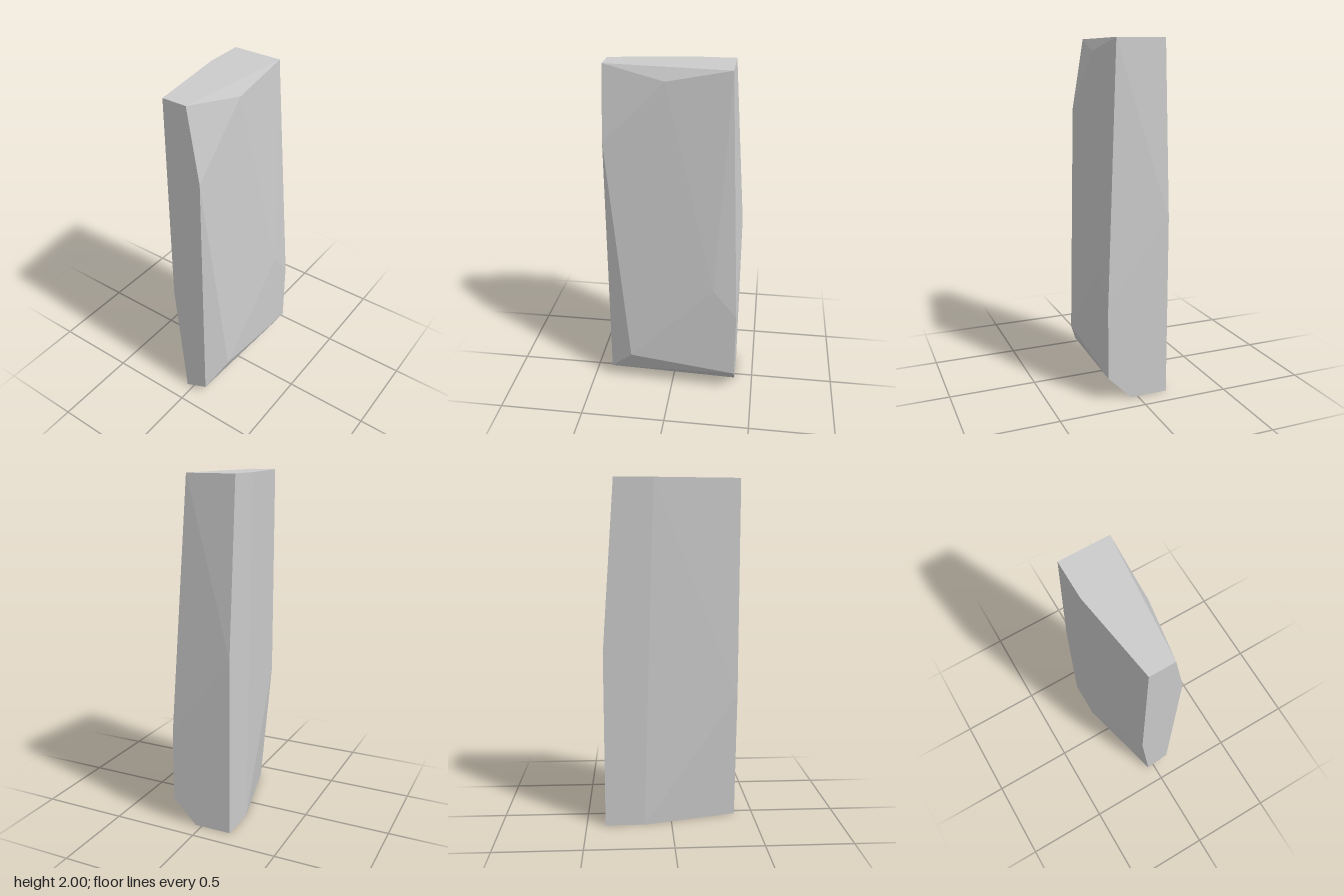
import * as THREE from 'three';
import { ConvexGeometry } from 'three/addons/geometries/ConvexGeometry.js';

export function createModel() {
  const group = new THREE.Group();
  group.name = 'stoneSlab';

  // Corners of the chipped slab; its planar facets are their convex hull
  const corners = [
    // top face
    [-0.39, 2, -0.108], [0.1, 2, -0.18], [0.32, 2, -0.18], [0.32, 2, 0.105], [-0.39, 2, 0.035],
    // chipped upper front edge
    [-0.04, 1.93, 0.105], [-0.39, 1.58, 0.105],
    // right side, where the upper bevel begins
    [0.39, 1.03, -0.18], [0.39, 0.55, 0.18],
    // flat front facet
    [0.25, 0.72, 0.18], [-0.25, 0.22, 0.18], [0.39, 0.14, 0.18],
    // lower left edges
    [-0.39, 0.07, 0.105], [-0.39, 0.76, -0.108],
    // bottom face
    [0.39, 0, 0.04], [0.39, 0, -0.18], [0.16, 0, -0.18], [-0.39, 0, -0.04],
  ].map((p) => new THREE.Vector3(...p));

  const slab = new THREE.Mesh(
    new ConvexGeometry(corners),
    new THREE.MeshStandardMaterial({ color: 0xcccccc, flatShading: true })
  );
  slab.name = 'slab';
  group.add(slab);
  return group;
}
